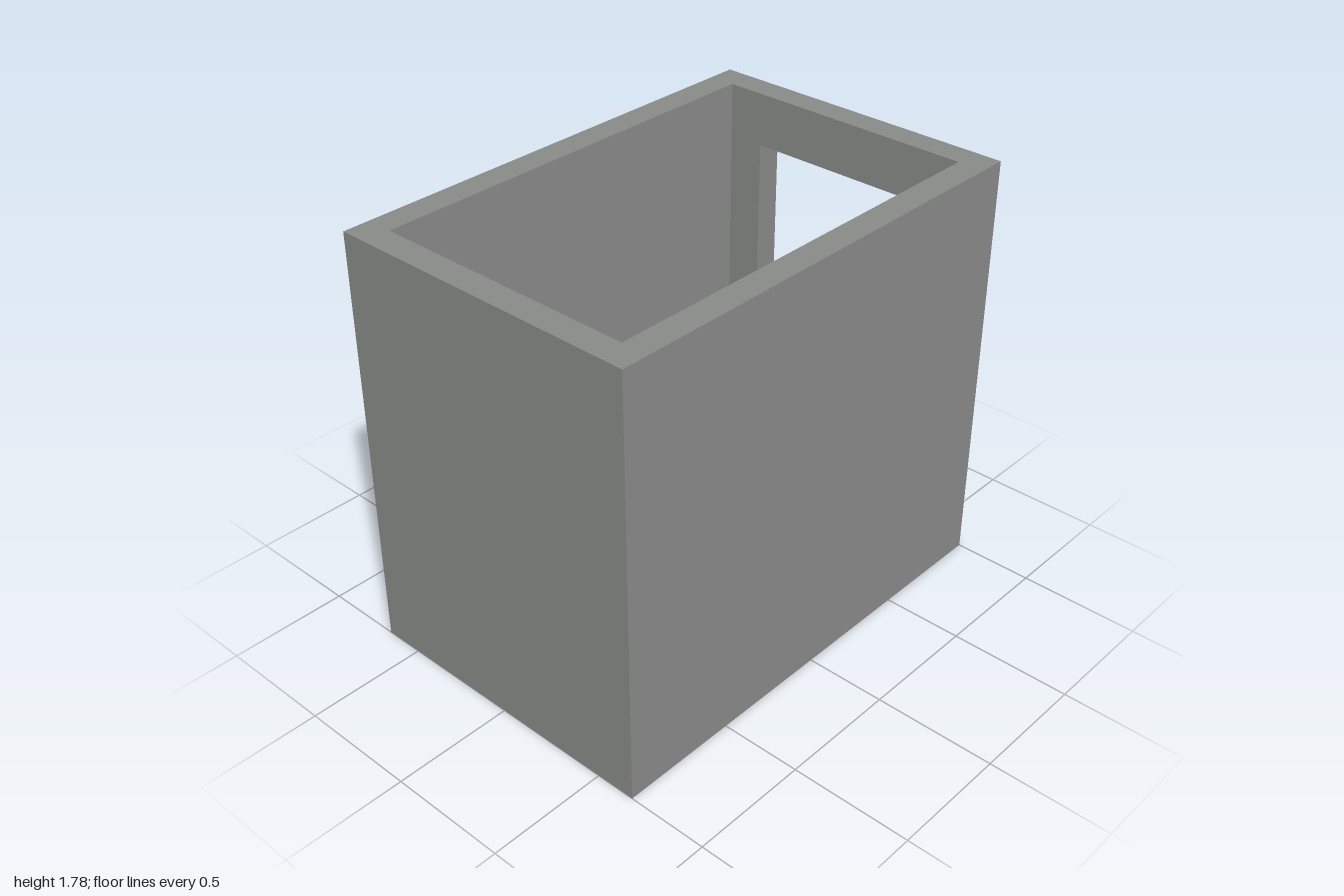
import * as THREE from 'three';

const LENGTH = 2, HEIGHT = 1.778, DEPTH = 1.333;
const WALL = 0.111, BASE = 0.222;
const DOOR_HALF = 0.4, DOOR_TOP = 1.556;

export function createModel() {
  const group = new THREE.Group();
  const wallGrey = new THREE.MeshStandardMaterial({ color: 0x888a88 });
  wallGrey.name = 'wall grey';
  const floorGrey = new THREE.MeshStandardMaterial({ color: 0x4d4d4d });
  floorGrey.name = 'floor dark grey';

  const add = (name, geometry, material, x, y, z) => {
    const mesh = new THREE.Mesh(geometry, material);
    mesh.name = name;
    mesh.position.set(x, y, z);
    group.add(mesh);
  };
  const wallHeight = HEIGHT - BASE;
  const wallY = BASE + wallHeight / 2;

  // Base slab, with the dark floor on its top face
  add('base', new THREE.BoxGeometry(LENGTH, BASE, DEPTH),
    [wallGrey, wallGrey, floorGrey, wallGrey, wallGrey, wallGrey], 0, BASE / 2, 0);

  // Long front and back walls, between the end walls
  for (const [name, side] of [['frontWall', 1], ['backWall', -1]]) {
    add(name, new THREE.BoxGeometry(LENGTH - 2 * WALL, wallHeight, WALL), wallGrey,
      0, wallY, side * (DEPTH - WALL) / 2);
  }

  // Solid end wall
  add('closedEndWall', new THREE.BoxGeometry(WALL, wallHeight, DEPTH), wallGrey,
    -(LENGTH - WALL) / 2, wallY, 0);

  // End wall with a doorway open down to the floor
  const h = DEPTH / 2;
  const outline = new THREE.Shape([
    [-h, BASE], [-DOOR_HALF, BASE], [-DOOR_HALF, DOOR_TOP], [DOOR_HALF, DOOR_TOP],
    [DOOR_HALF, BASE], [h, BASE], [h, HEIGHT], [-h, HEIGHT],
  ].map(([x, y]) => new THREE.Vector2(x, y)));
  const doorWall = new THREE.ExtrudeGeometry(outline, { depth: WALL, bevelEnabled: false });
  doorWall.rotateY(Math.PI / 2);
  add('doorwayEndWall', doorWall, wallGrey, LENGTH / 2 - WALL, 0, 0);

  return group;
}
